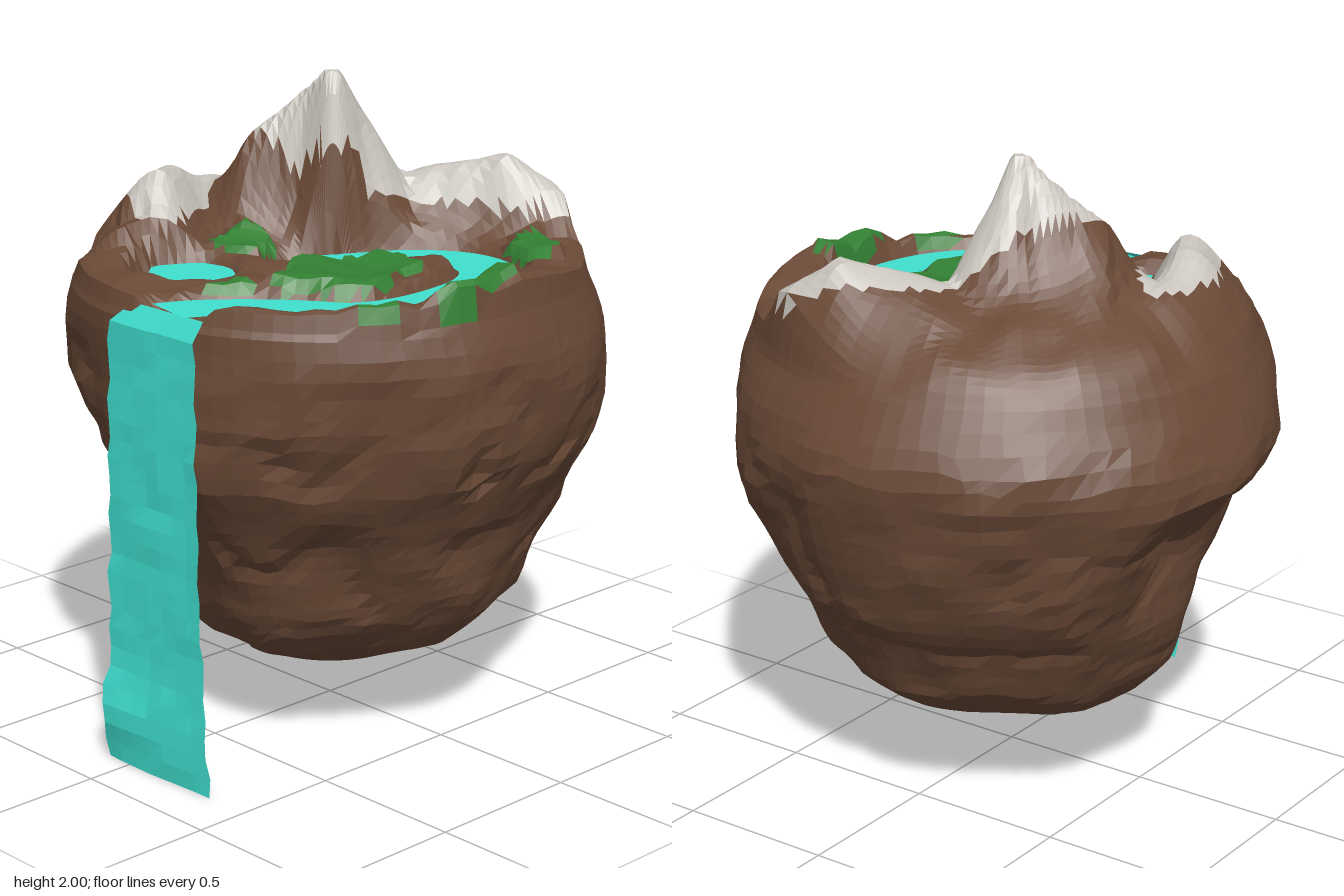
import * as THREE from 'three';

const SEG = 84, LOW = 30, TOP = 30, WATER = 1.445, BED = 1.415;
const smooth = (a, b, v) => THREE.MathUtils.smoothstep(v, a, b);
const lerp = THREE.MathUtils.lerp;

// Body outline: y, left, right, front and back reach
const outline = [
  [0.16, 0.02, 0.02, 0.02, 0.02], [0.19, 0.2, 0.22, 0.22, 0.2], [0.3, 0.45, 0.47, 0.46, 0.46],
  [0.4, 0.54, 0.56, 0.53, 0.59], [0.5, 0.59, 0.62, 0.56, 0.63], [0.6, 0.61, 0.66, 0.61, 0.68],
  [0.7, 0.62, 0.68, 0.66, 0.74], [0.8, 0.65, 0.73, 0.71, 0.78], [0.9, 0.68, 0.78, 0.77, 0.82],
  [1.0, 0.76, 0.82, 0.79, 0.85], [1.1, 0.86, 0.85, 0.81, 0.87], [1.2, 0.85, 0.86, 0.81, 0.87],
  [1.3, 0.82, 0.86, 0.82, 0.84], [1.4, 0.77, 0.83, 0.82, 0.78],
];
// Mountain ridge: x, z, height, half width of the snow
const ridge = [
  [0.68, -0.46, 1.46, 0], [0.5, -0.6, 1.5, 0], [0.38, -0.62, 1.62, 0.07], [0.22, -0.56, 1.73, 0.1],
  [0.05, -0.46, 1.67, 0.09], [-0.03, -0.36, 1.65, 0.07], [-0.07, -0.27, 1.79, 0.1], [-0.11, -0.2, 1.92, 0.11],
  [-0.12, -0.13, 2.02, 0.12], [-0.2, -0.12, 1.94, 0.11], [-0.28, -0.06, 1.86, 0.06], [-0.35, 0.02, 1.77, 0],
  [-0.42, 0.05, 1.67, 0], [-0.5, 0.06, 1.63, 0.1], [-0.49, 0.2, 1.69, 0.12], [-0.43, 0.31, 1.69, 0.11],
  [-0.36, 0.39, 1.59, 0.07], [-0.38, 0.52, 1.5, 0], [-0.48, 0.64, 1.45, 0],
];
// Grass patches: x, z, half width, half depth
const meadows = [
  [0.28, 0.2, 0.17, 0.25], [-0.19, 0.18, 0.11, 0.09], [0.46, -0.42, 0.1, 0.09],
  [0.74, 0.12, 0.055, 0.15], [0.66, 0.45, 0.1, 0.07], [0.15, 0.57, 0.065, 0.08],
];
const riverPath = new THREE.CatmullRomCurve3([
  [-0.02, 0.12], [0.07, -0.03], [0.17, -0.19], [0.3, -0.275], [0.45, -0.24], [0.54, -0.12], [0.58, 0.06],
  [0.575, 0.25], [0.51, 0.4], [0.37, 0.5], [0.25, 0.61], [0.17, 0.71], [0.13, 0.8],
].map(([x, z]) => new THREE.Vector3(x, WATER, z)));
const riverPoints = riverPath.getSpacedPoints(60);
const pool = [[-0.25, 0.33], [-0.15, 0.31], [-0.03, 0.32], [-0.01, 0.45], [-0.04, 0.6],
  [-0.1, 0.62], [-0.2, 0.58], [-0.3, 0.47], [-0.3, 0.39]];

// Smooth random lattice noise between -1 and 1
const hash = (i, j, k) => {
  const v = Math.sin(i * 127.1 + j * 311.7 + k * 74.7) * 43758.5453;
  return (v - Math.floor(v)) * 2 - 1;
};
function noise(x, y, z) {
  const [i, j, k] = [x, y, z].map(Math.floor);
  const [u, v, w] = [x - i, y - j, z - k].map(t => t * t * (3 - 2 * t));
  const line = (b, c) => lerp(hash(i, b, c), hash(i + 1, b, c), u);
  return lerp(lerp(line(j, k), line(j + 1, k), v), lerp(line(j, k + 1), line(j + 1, k + 1), v), w);
}

// Nearest place on the ridge, and which side of it the point lies
function nearRidge(x, z) {
  let best = { d: 9 };
  for (let i = 0; i < ridge.length - 1; i++) {
    const [ax, az, ah, aw] = ridge[i], [bx, bz, bh, bw] = ridge[i + 1];
    const dx = bx - ax, dz = bz - az;
    const t = THREE.MathUtils.clamp(((x - ax) * dx + (z - az) * dz) / (dx * dx + dz * dz), 0, 1);
    const d = Math.hypot(x - ax - t * dx, z - az - t * dz);
    if (d < best.d) best = { d, h: lerp(ah, bh, t), snow: lerp(aw, bw, t), back: dx * (z - az) - dz * (x - ax) > 0 };
  }
  return best;
}
const inMeadow = (x, z) => meadows.some(([cx, cz, rx, rz]) =>
  Math.hypot((x - cx) / rx, (z - cz) / rz) < 1 + 0.12 * Math.sin(19 * x + 23 * z));

// Height of the plateau, peaks and water beds; s is 1 at the rim and 0 in the middle
function landHeight(x, z, s) {
  const r = nearRidge(x, z), inward = 1 - s, edge = smooth(0, 0.05, inward);
  const dome = 1.4 + 0.24 * (1 - Math.exp(-inward / 0.2));
  const plain = 1.4 + 0.075 * smooth(0, 0.035, inward) + (inMeadow(x, z) ? 0.025 : 0)
    + 0.05 * smooth(0.5, 0.8, x) * smooth(0.0, 0.04, inward) * (1 - smooth(0.1, 0.5, Math.abs(z)));
  const floor = r.back ? dome : plain;
  const rise = Math.max(0, r.h - floor) * Math.exp(-((r.d / (r.back ? 0.15 : 0.1)) ** 2));
  const h = floor + edge * (rise + 0.02 * noise(x * 9, 1, z * 9));
  const river = Math.min(...riverPoints.map(p => Math.hypot(p.x - x, p.z - z)));
  const pond = Math.hypot((x + 0.155) / 0.15, (z - 0.465) / 0.16) * 0.15;
  const wet = Math.min(smooth(0.075, 0.13, river), smooth(0.12, 0.18, pond));
  return Math.min(2, h > BED ? lerp(BED, h, wet) : h);
}

// Point of the craggy body at a height and angle
function bodyPoint(height, turn) {
  const inner = smooth(0.2, 0.35, height) * (1 - smooth(1.2, 1.4, height));
  const p = [Math.cos(turn), height, Math.sin(turn)];
  const y = height + inner * 0.02 * noise(p[0] * 9, height * 12, p[2] * 9);
  const angle = turn + inner * 0.035 * noise(p[0] * 11 + 5, height * 14, p[2] * 11);
  const c = Math.cos(angle), s = Math.sin(angle);
  // Ledges wander up and down around the body
  const level = THREE.MathUtils.clamp(y + inner * 0.04 * noise(c * 2.5, 3, s * 2.5), 0.16, 1.4);
  const i = Math.max(1, outline.findIndex(row => row[0] >= level));
  const t = (level - outline[i - 1][0]) / (outline[i][0] - outline[i - 1][0]);
  const [, l, r, f, b] = outline[i].map((v, k) => lerp(outline[i - 1][k], v, t));
  // The back is rounder than the sides
  const side = lerp(c > 0 ? r : l, b, smooth(0.1, 0.7, -s) * (1 - smooth(1.0, 1.2, y)));
  let x = c * side, z = s * (s > 0 ? f : b);
  const crag = smooth(0.3, 0.55, y) * (1 - smooth(0.95, 1.2, y)) * (s > -0.5 ? 1 : 0.5);
  const crease = Math.exp(-((noise(x * 3, y * 6 + 7, z * 3) / 0.16) ** 2));
  const k = 1 + inner * (0.03 * noise(x * 4, y * 5, z * 4) + 0.015 * noise(x * 9, y * 9, z * 9))
    + crag * (0.01 - 0.035 * crease);
  x *= k;
  z *= k;
  // Hollow under the overhang, front left
  if (z > 0) z *= 1 - 0.08 * Math.exp(-(((x + 0.35) / 0.2) ** 2) - ((y - 0.72) / 0.14) ** 2);
  if (Math.abs(x - 0.11) < 0.28) z = Math.min(z, 0.815);
  return [x, y, z];
}

function triangleMesh(name, positions, color, side = THREE.FrontSide) {
  const geometry = new THREE.BufferGeometry();
  geometry.setAttribute('position', new THREE.Float32BufferAttribute(positions, 3));
  geometry.computeVertexNormals();
  const mesh = new THREE.Mesh(geometry, new THREE.MeshStandardMaterial({ color, flatShading: true, side }));
  mesh.name = name;
  return mesh;
}

// Two triangles for each cell of a grid of points
function eachTriangle(rows, use) {
  for (let i = 0; i < rows.length - 1; i++) for (let j = 0; j < rows[i].length - 1; j++) {
    const a = rows[i][j], b = rows[i][j + 1], c = rows[i + 1][j], d = rows[i + 1][j + 1];
    use(a, c, b);
    use(b, c, d);
  }
}
function sheetMesh(name, rows, color) {
  const positions = [];
  eachTriangle(rows, (...corners) => positions.push(...corners.flat()));
  return triangleMesh(name, positions, color, THREE.DoubleSide);
}

function buildIsland(group) {
  const angles = Array.from({ length: SEG + 1 }, (_, j) => (j % SEG) / SEG * Math.PI * 2);
  const rows = [angles.map(() => [0, 0.16, 0])];
  for (let i = 0; i <= LOW; i++) rows.push(angles.map(a => bodyPoint(0.16 + 1.24 * (i / LOW) ** 1.4, a)));
  const rim = rows[rows.length - 1];
  for (let k = 1; k <= TOP; k++) {
    const s = 1 - (k / TOP) ** 1.3;
    rows.push(rim.map(([x, , z]) => [x * s, landHeight(x * s, z * s, s), z * s]));
  }
  // Sort the faces into rock, snow and grass
  const rock = [], snow = [], grass = [];
  eachTriangle(rows, (a, b, c) => {
    const [x, y, z] = a.map((v, k) => (v + b[k] + c[k]) / 3);
    const r = nearRidge(x, z);
    let target = rock;
    if (y > Math.max(1.57, r.h - 0.24) && r.d < r.snow) target = snow;
    else if (y > 1.45 && y < 1.6 && inMeadow(x, z)) target = grass;
    target.push(...a, ...b, ...c);
  });
  group.add(triangleMesh('rock', rock, 0x6b4a37), triangleMesh('snowCaps', snow, 0xcac5be),
    triangleMesh('grass', grass, 0x338033));
}

function buildWater(group) {
  const color = 0x40e0d0;
  // Winding river with a rounded spring
  const riverRows = riverPoints.map((p, i) => {
    const t = riverPath.getTangentAt(i / 60), w = 0.095 * Math.min(1, 0.6 + i / 6);
    return [1, -1].map(e => [p.x + e * t.z * w, WATER, Math.min(0.8, p.z - e * t.x * w)]);
  });
  // Pool
  const pond = new THREE.Mesh(
    new THREE.ShapeGeometry(new THREE.Shape(pool.map(([x, z]) => new THREE.Vector2(x, -z)))),
    new THREE.MeshStandardMaterial({ color, side: THREE.DoubleSide }));
  pond.rotation.x = -Math.PI / 2;
  pond.position.y = WATER;
  pond.name = 'pool';
  // Rippled waterfall sheet
  const sheet = [];
  for (let i = 0; i <= 24; i++) {
    const t = i / 24, y = WATER * (1 - t), wave = 0.008 * Math.sin(i * 2.1);
    const left = lerp(-0.08, -0.095, t) + wave + (i === 0 ? 0.07 : 0);
    const right = lerp(0.3, 0.355, t * t) - wave * 0.8;
    sheet.push(Array.from({ length: 8 }, (_, j) => {
      const u = j / 7, swell = 0.035 * (1 - u) * Math.exp(-(((y - 0.15) / 0.13) ** 2));
      const z = i ? 0.828 + 0.012 * t + swell + 0.006 * noise(j * 0.7, i * 0.7, 4) : 0.79;
      return [lerp(left, right, u), y, z];
    }));
  }
  group.add(sheetMesh('river', riverRows, color), pond, sheetMesh('waterfall', sheet, color));
}

export function createModel() {
  const group = new THREE.Group();
  group.name = 'floatingIsland';
  buildIsland(group);
  buildWater(group);
  return group;
}
